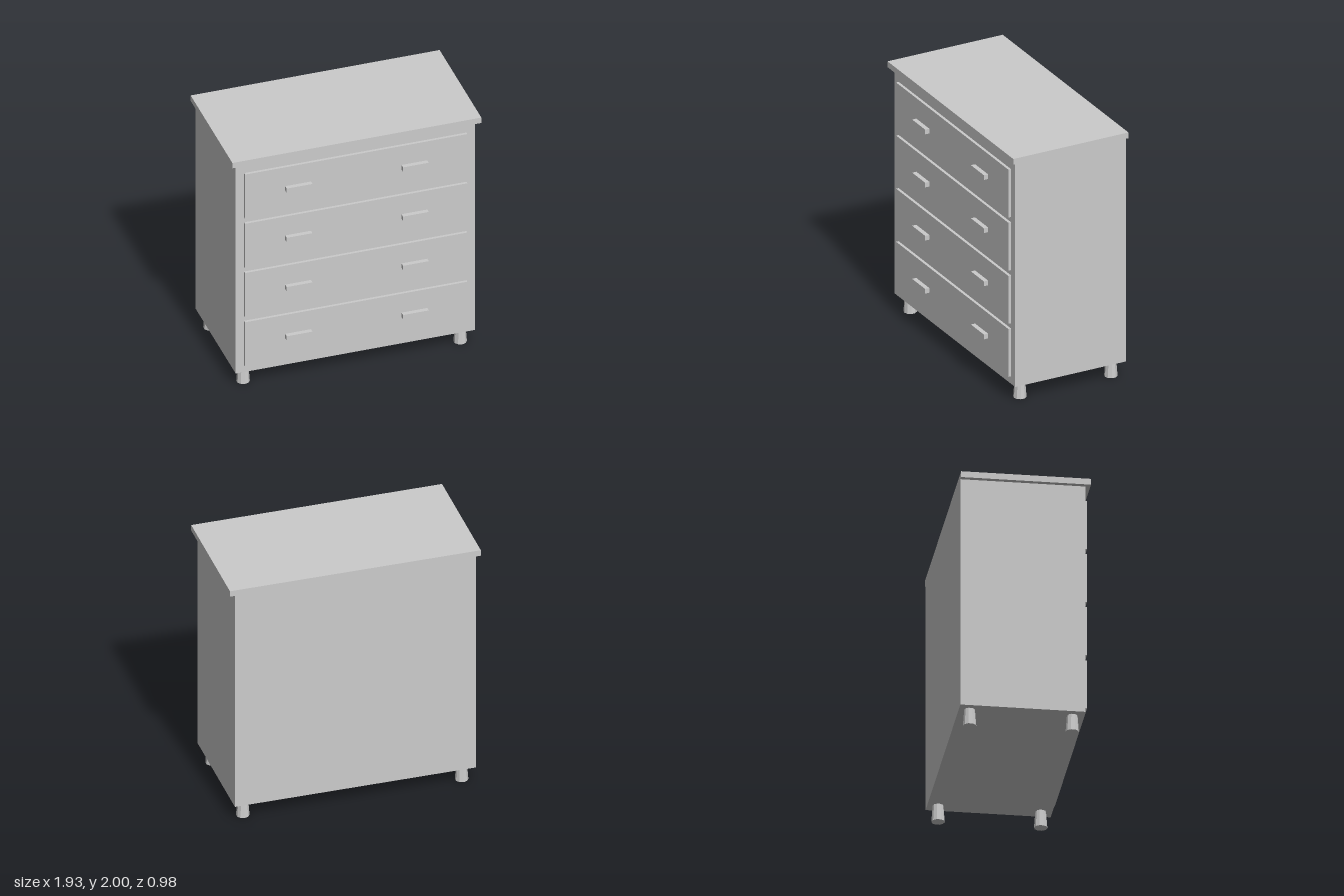
import * as THREE from 'three';

const material = new THREE.MeshStandardMaterial({ color: 0xcccccc, flatShading: true });

// Box given by its extents along each axis
function box(name, [x0, x1], [y0, y1], [z0, z1]) {
  const mesh = new THREE.Mesh(new THREE.BoxGeometry(x1 - x0, y1 - y0, z1 - z0), material);
  mesh.position.set((x0 + x1) / 2, (y0 + y1) / 2, (z0 + z1) / 2);
  mesh.name = name;
  return mesh;
}

export function createModel() {
  const model = new THREE.Group();
  model.name = 'chestOfDrawers';

  const back = -0.49, front = 0.435, drawerFront = 0.457;
  const legHeight = 0.13, topUnderside = 1.953;

  // Carcass and top, flush at the back
  model.add(box('body', [-0.925, 0.925], [legHeight, topUnderside], [back, front]));
  model.add(box('top', [-0.963, 0.963], [topUnderside, 2], [back, 0.472]));

  // Four drawers, each with two bar handles
  for (let i = 0; i < 4; i++) {
    const y = 0.19 + i * 0.43, height = 0.388;
    const drawer = new THREE.Group();
    drawer.name = `drawer${i + 1}`;
    drawer.add(box('drawerFront', [-0.86, 0.86], [y, y + height], [front, drawerFront]));
    const handleY = y + 0.204;
    for (const x of [-0.45, 0.45]) {
      drawer.add(box(x > 0 ? 'leftHandle' : 'rightHandle',
        [x - 0.1, x + 0.1], [handleY - 0.019, handleY + 0.019], [drawerFront, 0.492]));
    }
    model.add(drawer);
  }

  // Faceted legs, widening toward the floor
  const legGeometry = new THREE.CylinderGeometry(0.04, 0.05, legHeight, 10);
  for (const x of [-0.84, 0.84]) {
    for (const z of [-0.41, 0.35]) {
      const leg = new THREE.Mesh(legGeometry, material);
      leg.position.set(x, legHeight / 2, z);
      leg.name = (z > 0 ? 'front' : 'back') + (x > 0 ? 'Left' : 'Right') + 'Leg';
      model.add(leg);
    }
  }
  return model;
}
